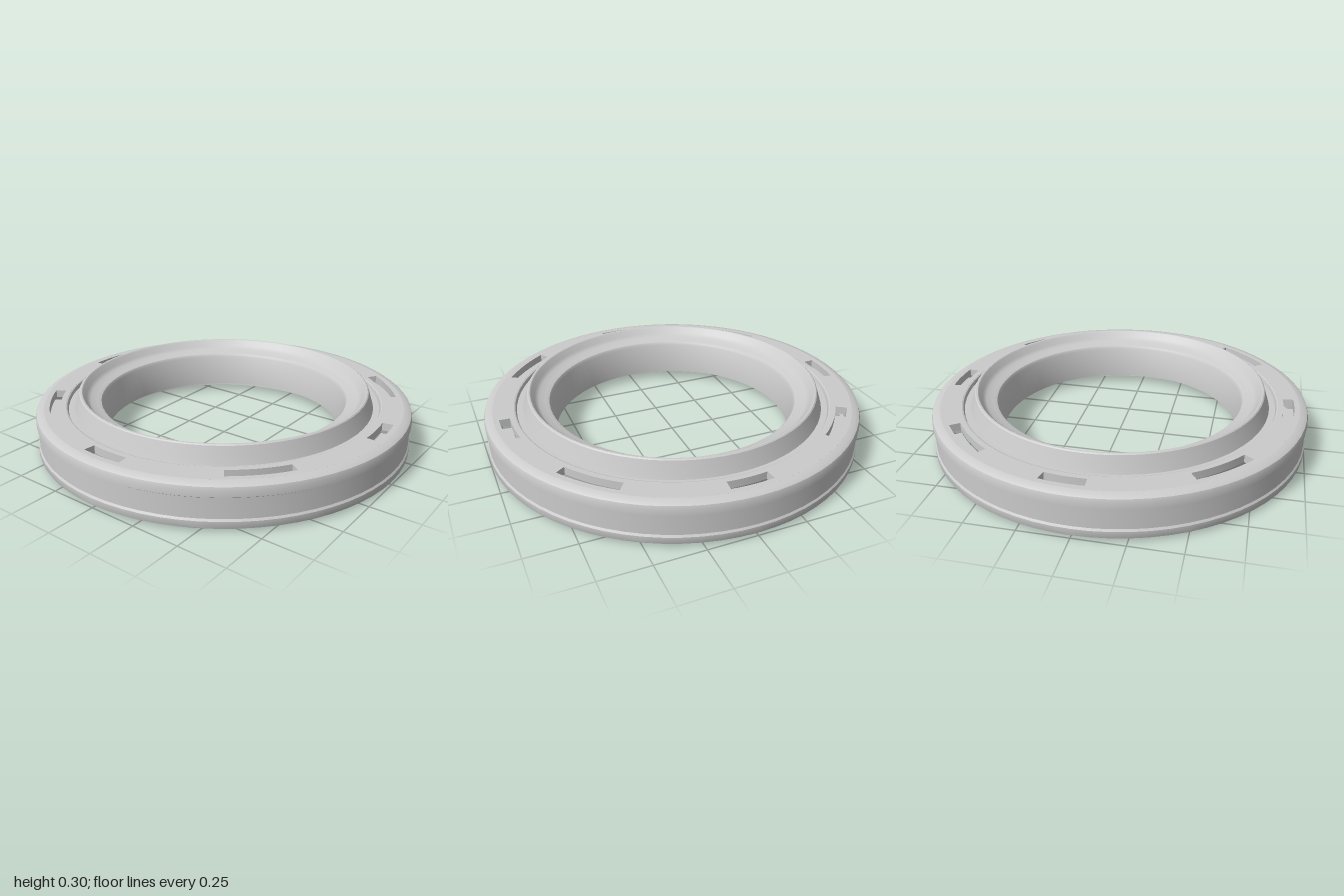
import * as THREE from 'three';
import { toCreasedNormals } from 'three/addons/utils/BufferGeometryUtils.js';

const SEGMENTS = 72;
const material = new THREE.MeshStandardMaterial({ color: 0xcccccc });
const rad = THREE.MathUtils.degToRad;

function addMesh(group, name, geometry) {
  const mesh = new THREE.Mesh(toCreasedNormals(geometry, rad(32)), material);
  mesh.name = name;
  group.add(mesh);
}

// Revolve a closed section of [radius, height] points, listed counterclockwise
function revolve(section) {
  const points = [...section, section[0]].map(([r, y]) => new THREE.Vector2(r, y));
  return new THREE.LatheGeometry(points, SEGMENTS);
}

// Outline of a ring sector, angles in degrees
function sector(inner, outer, center, half, Type = THREE.Shape) {
  const points = [];
  const steps = 6;
  const put = (r, i) => {
    const a = rad(center - half + (2 * half * i) / steps);
    points.push(new THREE.Vector2(r * Math.cos(a), r * Math.sin(a)));
  };
  for (let i = 0; i <= steps; i++) put(outer, i);
  for (let i = steps; i >= 0; i--) put(inner, i);
  return new Type(points);
}

// Raise a flat outline from height y0 to y1
function raise(shape, y0, y1) {
  const geometry = new THREE.ExtrudeGeometry(shape, {
    depth: y1 - y0, bevelEnabled: false, curveSegments: SEGMENTS,
  });
  return geometry.rotateX(-Math.PI / 2).translate(0, y0, 0);
}

export function createModel() {
  const model = new THREE.Group();
  model.name = 'bearingRing';

  // Slot positions: four short ones on the axes, four long ones between
  const slots = [
    [0, 6.7], [86.5, 6.7], [180, 6.7], [-86.5, 6.7],
    [46.5, 10], [133.5, 10], [-133.5, 10], [-46.5, 10],
  ];

  // Outer wall with rounded upper rim, recessed band and lower lip
  addMesh(model, 'outerWall', revolve([
    [0.945, 0.015], [0.998, 0.015], [1, 0.02], [1, 0.05], [0.993, 0.06],
    [0.993, 0.163], [1, 0.168], [1, 0.2], [0.995, 0.215], [0.98, 0.225], [0.955, 0.23],
    [0.955, 0.19], [0.965, 0.19], [0.965, 0.06], [0.945, 0.06],
  ]));

  // Flat top plate with slots
  const plate = new THREE.Shape().absarc(0, 0, 0.955, 0, Math.PI * 2);
  plate.holes.push(new THREE.Path().absarc(0, 0, 0.845, 0, Math.PI * 2, true));
  for (const [angle, half] of slots) {
    plate.holes.push(sector(0.873, 0.928, angle, half, THREE.Path));
  }
  addMesh(model, 'topPlate', raise(plate, 0.19, 0.23));

  // Clip tabs just below the slots
  slots.forEach(([angle, half]) => {
    addMesh(model, 'clipTab', raise(sector(0.87, 0.97, angle, half), 0.13, 0.175));
  });

  // Ribs dividing the inside of the outer wall into pockets
  for (let i = 0; i < 8; i++) {
    addMesh(model, 'wallRib', raise(sector(0.946, 0.97, -125 + i * 45, 7), 0.055, 0.195));
  }

  // Inner collar: shallow groove, sloped lip, funnel, bore and hollow underside
  addMesh(model, 'innerCollar', revolve([
    [0.725, 0], [0.755, 0], [0.765, 0.03], [0.785, 0.17], [0.8, 0.19], [0.846, 0.19],
    [0.846, 0.23], [0.838, 0.227], [0.832, 0.21], [0.8, 0.21], [0.793, 0.23],
    [0.772, 0.295], [0.766, 0.3], [0.757, 0.3], [0.75, 0.295],
    [0.735, 0.265], [0.715, 0.25], [0.68, 0.243], [0.66, 0.235], [0.65, 0.22],
    [0.637, 0.045], [0.652, 0.04], [0.668, 0.2], [0.69, 0.215], [0.725, 0.215],
    [0.745, 0.2], [0.735, 0.06],
  ]));

  return model;
}
